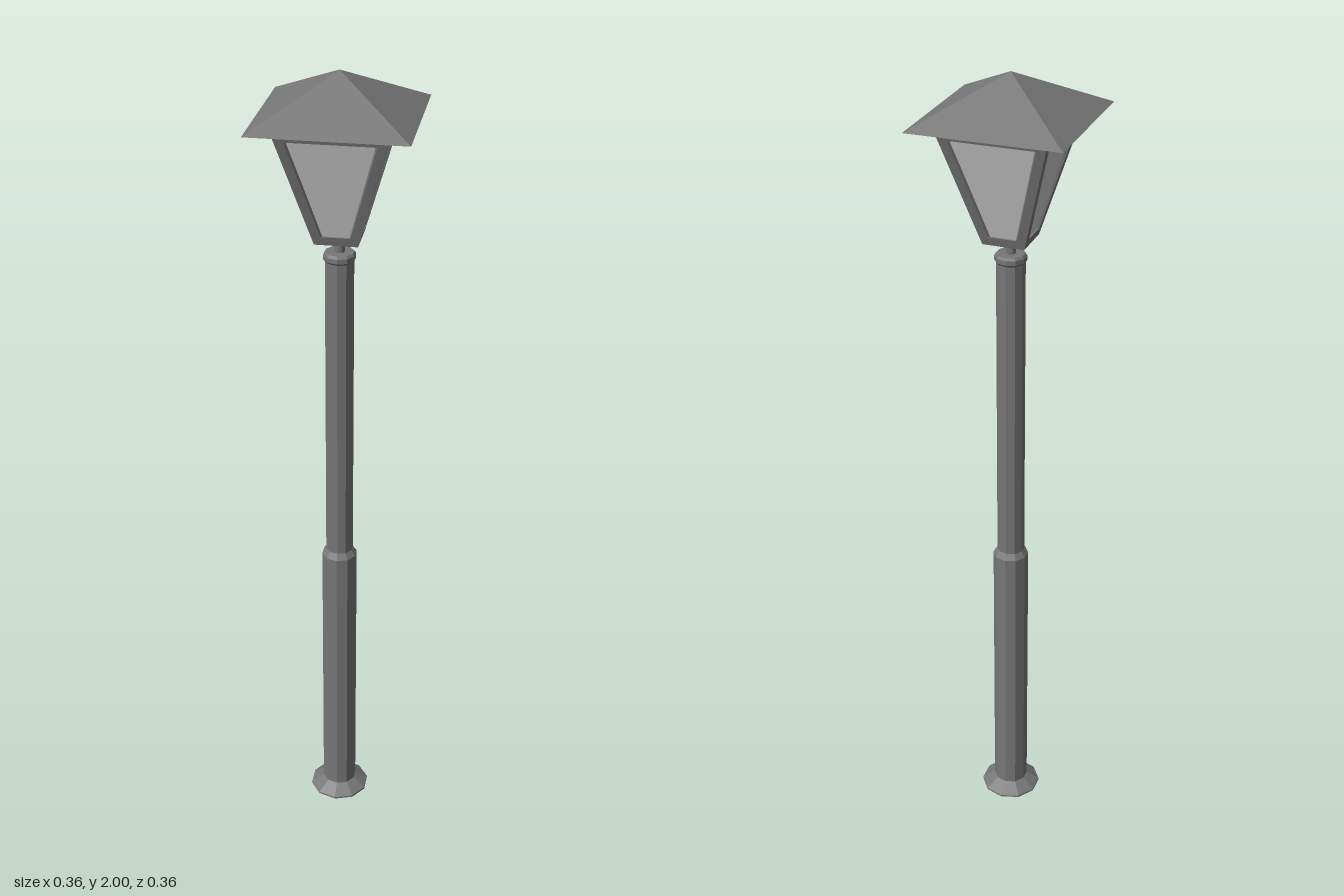
import * as THREE from 'three';

const metal = new THREE.MeshStandardMaterial({ color: 0x777777, flatShading: true });
const glass = new THREE.MeshStandardMaterial({ color: 0xcccccc, flatShading: true, side: THREE.DoubleSide });

const BOTTOM = 1.617, TOP = 1.9;
// half width of the tapering lantern at height y
const halfAt = (y) => THREE.MathUtils.mapLinear(y, BOTTOM, TOP, 0.05, 0.13);

function add(parent, name, geometry, material) {
  const mesh = new THREE.Mesh(geometry, material);
  mesh.name = name;
  parent.add(mesh);
  return mesh;
}

const trapezoid = (w0, y0, w1, y1) =>
  [[-w0, y0], [w0, y0], [w1, y1], [-w1, y1]].map(([x, y]) => new THREE.Vector2(x, y));

// lean a flat panel onto the lantern side; depth behind z = 0 shrinks toward the axis
function lean(geometry) {
  const p = geometry.attributes.position;
  for (let i = 0; i < p.count; i++) {
    const half = halfAt(p.getY(i));
    const z = half + p.getZ(i);
    p.setXYZ(i, p.getX(i) * z / half, p.getY(i), z);
  }
  geometry.computeVertexNormals();
  return geometry;
}

export function createModel() {
  const model = new THREE.Group();
  model.name = 'streetLamp';

  // ten-sided post: flared foot, thick lower shaft, thin upper shaft, collar and stem
  const profile = [
    [0, 0], [0.077, 0], [0.077, 0.005], [0.044, 0.028], [0.044, 0.765], [0.034, 0.78],
    [0.034, 1.562], [0.038, 1.567], [0.038, 1.578], [0.034, 1.584], [0.012, 1.584],
    [0.012, 1.62], [0, 1.62],
  ].map(([r, y]) => new THREE.Vector2(r, y));
  add(model, 'post', new THREE.LatheGeometry(profile, 10), metal);

  // four framed panes
  const lantern = new THREE.Group();
  lantern.name = 'lantern';
  model.add(lantern);
  const depth = 0.01;
  const opening = trapezoid(0.034, 1.638, 0.101, 1.874);
  for (let i = 0; i < 4; i++) {
    const side = new THREE.Group();
    side.name = 'lanternSide';
    side.rotation.y = i * Math.PI / 2;
    lantern.add(side);
    const shape = new THREE.Shape(trapezoid(0.05, BOTTOM, 0.13, TOP));
    shape.holes.push(new THREE.Path(opening));
    const frame = new THREE.ExtrudeGeometry(shape, { depth, bevelEnabled: false });
    add(side, 'frame', lean(frame.translate(0, 0, -depth)), metal);
    const pane = new THREE.ShapeGeometry(new THREE.Shape(opening));
    add(side, 'pane', lean(pane.translate(0, 0, -0.005)), glass);
  }

  // lantern floor
  const floor = add(lantern, 'floor', new THREE.BoxGeometry(0.098, 0.012, 0.098), metal);
  floor.position.y = BOTTOM + 0.006;

  // pyramid roof
  const roof = add(model, 'roof', new THREE.ConeGeometry(0.179 * Math.SQRT2, 0.1, 4), metal);
  roof.rotation.y = Math.PI / 4;
  roof.position.y = 1.95;

  return model;
}
